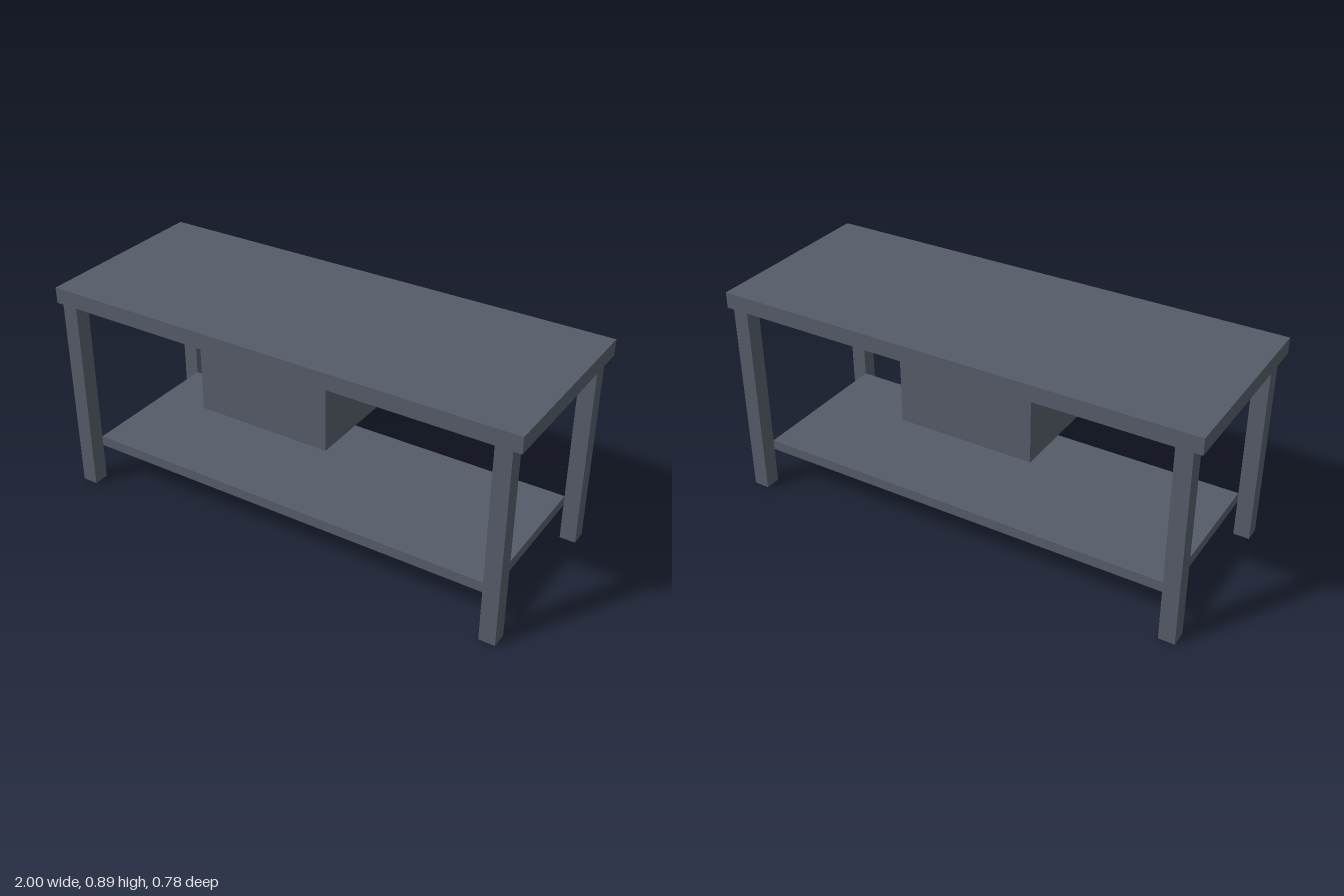
import * as THREE from 'three';

const paint = new THREE.MeshStandardMaterial({ color: 0x555b68 });
const wood = new THREE.MeshStandardMaterial({ color: 0x8a5a30 });

// Box given by its [min, max] range on each axis
function block(name, [x0, x1], [y0, y1], [z0, z1], material = paint) {
  const mesh = new THREE.Mesh(new THREE.BoxGeometry(x1 - x0, y1 - y0, z1 - z0), material);
  mesh.position.set((x0 + x1) / 2, (y0 + y1) / 2, (z0 + z1) / 2);
  mesh.name = name;
  return mesh;
}

export function createModel() {
  const bench = new THREE.Group();
  bench.name = 'workbench';

  const topY = 0.89, underside = 0.824, halfDepth = 0.39, legSize = 0.066;

  // Worktop and lower shelf
  bench.add(block('worktop', [-1, 1], [underside, topY], [-halfDepth, halfDepth]));
  bench.add(block('lowerShelf', [-0.902, 0.902], [0.157, 0.2], [-0.324, 0.324]));

  // Four square legs, flush with the front and back of the worktop
  for (const sx of [-1, 1]) {
    for (const sz of [-1, 1]) {
      const leg = block('leg', [0, legSize], [0, underside], [0, legSize]);
      leg.position.x = sx * (0.968 - legSize / 2);
      leg.position.z = sz * (halfDepth - legSize / 2);
      bench.add(leg);
    }
  }

  // Drawer box hung under the worktop, with its handle on the -x face
  const drawer = new THREE.Group();
  drawer.name = 'drawer';
  drawer.add(block('drawerBox', [-0.335, 0.22], [0.533, underside], [-0.338, 0.338]));
  drawer.add(block('drawerHandle', [-0.36, -0.335], [0.683, 0.717], [-0.065, 0.065], wood));
  bench.add(drawer);

  return bench;
}
